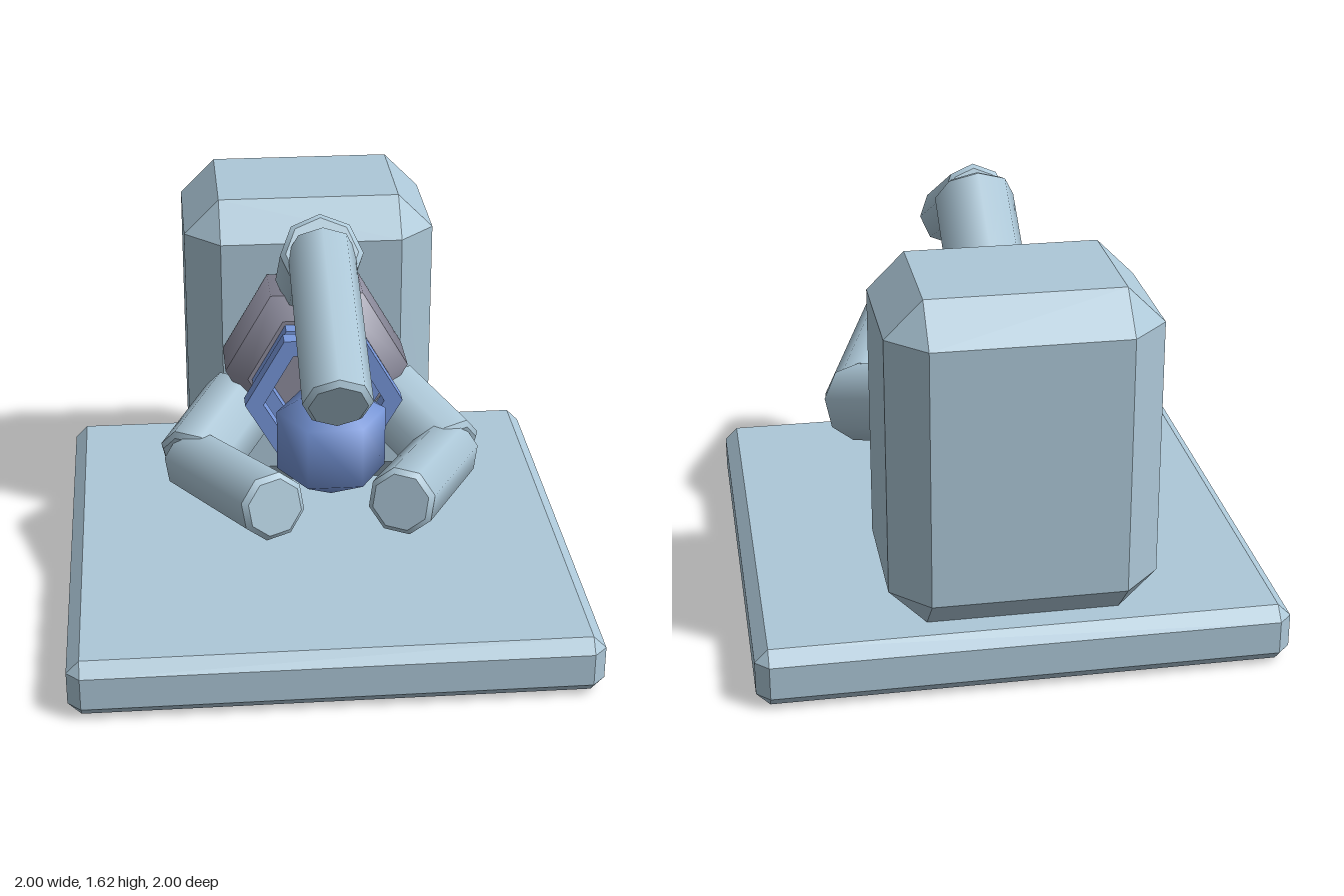
import * as THREE from 'three';
import { mergeGeometries } from 'three/addons/utils/BufferGeometryUtils.js';
import { ConvexGeometry } from 'three/addons/geometries/ConvexGeometry.js';

const CORE_Y = 0.93; // height of the axis the arms are arranged around

const mat = (name, color) => {
  const m = new THREE.MeshStandardMaterial({ color });
  m.name = name;
  return m;
};

function add(parent, name, geometry, material, x = 0, y = 0, z = 0) {
  const mesh = new THREE.Mesh(geometry, material);
  mesh.name = name;
  mesh.position.set(x, y, z);
  parent.add(mesh);
  return mesh;
}

// Box with every edge cut at 45 degrees by b
function chamferedBox(w, h, d, b) {
  const half = [w / 2, h / 2, d / 2];
  const points = [];
  for (const sx of [-1, 1]) for (const sy of [-1, 1]) for (const sz of [-1, 1]) {
    const s = [sx, sy, sz];
    for (let axis = 0; axis < 3; axis++) {
      points.push(new THREE.Vector3(...half.map((v, i) => s[i] * (i === axis ? v : v - b))));
    }
  }
  return new ConvexGeometry(points);
}

// Prism along y with chamfered ends and softly shaded sides
function bevelledPrism(radius, length, sides, inset, depth) {
  const body = new THREE.CylinderGeometry(radius, radius, length - 2 * depth, sides, 1, true);
  const top = new THREE.CylinderGeometry(radius - inset, radius, depth, sides);
  const bottom = new THREE.CylinderGeometry(radius, radius - inset, depth, sides);
  top.translate(0, (length - depth) / 2, 0);
  bottom.translate(0, -(length - depth) / 2, 0);
  return mergeGeometries([body, top, bottom]);
}

// Six-sided ring extruded along z
function hexRing(outer, inner, depth) {
  const hex = (r) => Array.from({ length: 6 }, (_, i) =>
    new THREE.Vector2(r * Math.cos(i * Math.PI / 3), r * Math.sin(i * Math.PI / 3)));
  const shape = new THREE.Shape(hex(outer));
  shape.holes.push(new THREE.Path(hex(inner).reverse()));
  return new THREE.ExtrudeGeometry(shape, { depth, bevelEnabled: false });
}

// Arm segment between two points given as [radial height, z]
function armSegment(parent, name, from, to, radius, material) {
  const a = new THREE.Vector3(0, from[0], from[1]);
  const b = new THREE.Vector3(0, to[0], to[1]);
  const mesh = add(parent, name, bevelledPrism(radius, a.distanceTo(b), 8, 0.02, 0.018), material);
  mesh.position.copy(a).add(b).multiplyScalar(0.5);
  mesh.rotation.x = Math.atan2(b.z - a.z, b.y - a.y);
}

export function createModel() {
  const model = new THREE.Group();
  model.name = 'clawMachine';
  const steel = mat('paleSteel', 0xadc8d8);
  const blue = mat('crystalBlue', 0x7898dc);
  const grey = mat('mauveGrey', 0x8f8e9f);

  // Base plate and main housing
  add(model, 'basePlate', chamferedBox(2, 0.23, 2, 0.05), steel, 0, 0.115, 0);
  add(model, 'housing', chamferedBox(1, 1.27, 0.77, 0.14), steel, 0, 0.867, -0.615);

  // Hexagonal collar on the front of the housing
  const collar = bevelledPrism(0.36, 0.39, 6, 0.083, 0.085);
  collar.rotateY(Math.PI / 6);
  collar.rotateX(Math.PI / 2);
  add(model, 'collar', collar, grey, 0, CORE_Y, -0.1);

  // Focusing rings and floating crystal
  add(model, 'innerRing', hexRing(0.26, 0.195, 0.07), blue, 0, CORE_Y, 0.085);
  add(model, 'outerRing', hexRing(0.3, 0.23, 0.07), blue, 0, CORE_Y, 0.256);
  add(model, 'crystal', new THREE.SphereGeometry(0.23, 6, 3), blue, 0, CORE_Y, 0.618);

  // Three jointed arms spaced evenly around the axis
  for (let i = 0; i < 3; i++) {
    const arm = new THREE.Group();
    arm.name = 'arm' + (i + 1);
    arm.position.y = CORE_Y;
    arm.rotation.z = i * Math.PI * 2 / 3;
    armSegment(arm, 'upperArm', [0.337, -0.076], [0.577, 0.239], 0.156, steel);
    armSegment(arm, 'forearm', [0.58, 0.193], [0.26, 0.89], 0.126, steel);
    model.add(arm);
  }
  return model;
}
